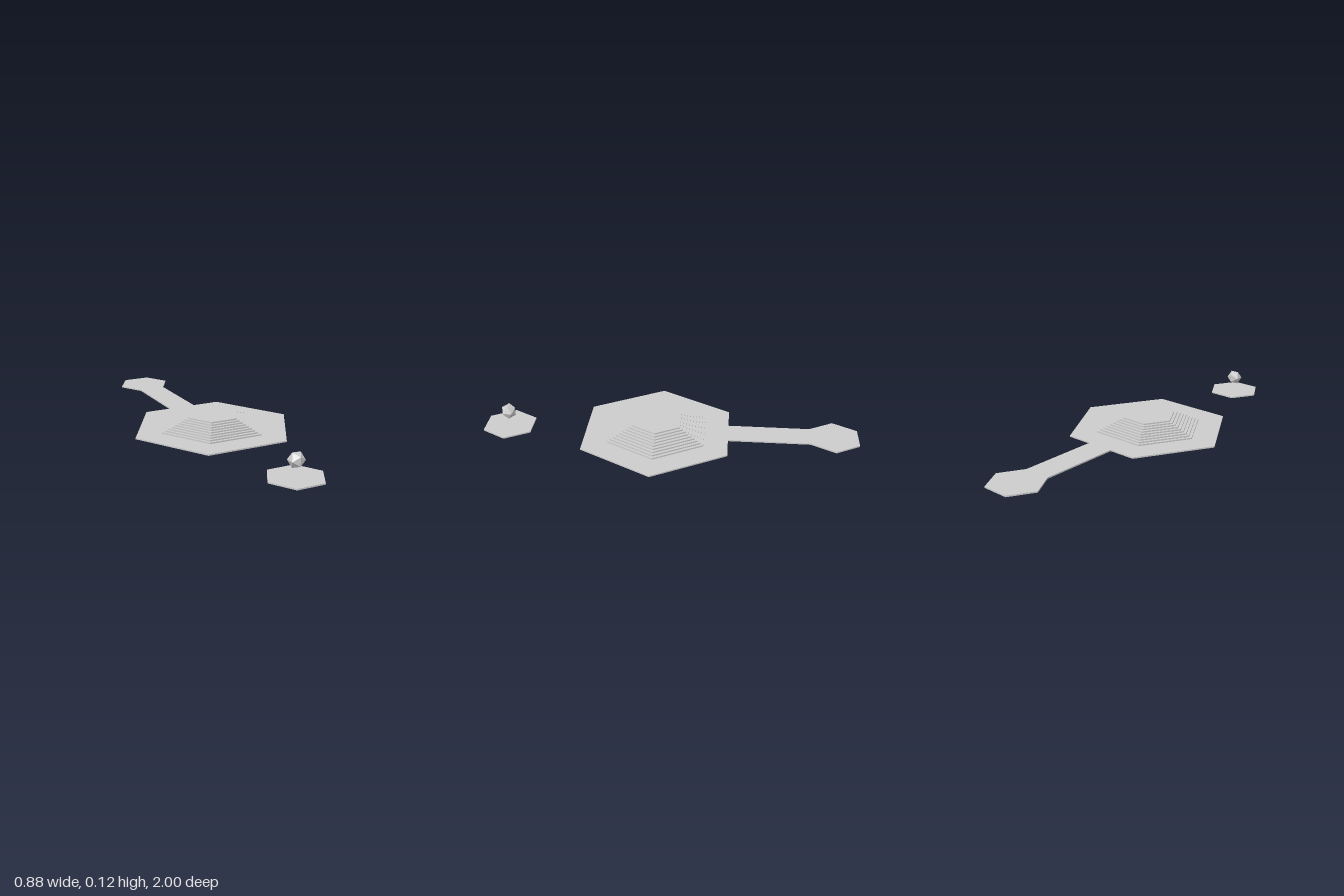
import * as THREE from 'three';

const UNIT = 0.0733;         // one design unit
const THICK = 0.1 * UNIT;    // slab and step height
const APOTHEM = Math.sqrt(3) / 2;
const END_Z = 1 - 2 * UNIT * APOTHEM; // centre of the small platforms
const MAIN_Z = 0.069;        // centre of the large platform

export function createModel() {
  const group = new THREE.Group();
  const material = new THREE.MeshStandardMaterial({ color: 0xcccccc, flatShading: true });

  const add = (name, geometry, x, y, z, parent = group) => {
    const mesh = new THREE.Mesh(geometry, material);
    mesh.name = name;
    mesh.position.set(x, y, z);
    parent.add(mesh);
    return mesh;
  };

  // Hexagonal slab with corners on the x axis
  const hexSlab = (radius) =>
    new THREE.CylinderGeometry(radius, radius, THICK, 6, 1, false, Math.PI / 2);

  // Large platform, walkway and rear platform as one continuous outline
  const big = 6 * UNIT, small = 2 * UNIT, half = UNIT;
  const bigBack = MAIN_Z - big * APOTHEM;
  const smallFront = -END_Z + small * APOTHEM;
  const side = [
    [big / 2, MAIN_Z + big * APOTHEM],
    [big, MAIN_Z],
    [big / 2, bigBack],
    [half, bigBack],
    [half, smallFront],
    [small, -END_Z],
    [small / 2, -1],
  ];
  const outline = [...side, ...side.map(([x, z]) => [-x, z]).reverse()];
  const shape = new THREE.Shape(outline.map(([x, z]) => new THREE.Vector2(x, -z)));
  const baseGeometry = new THREE.ExtrudeGeometry(shape, { depth: THICK, bevelEnabled: false });
  baseGeometry.rotateX(-Math.PI / 2);
  add('platformWithWalkway', baseGeometry, 0, 0, 0);

  // Stepped hexagonal dais
  const dais = new THREE.Group();
  dais.name = 'steppedDais';
  group.add(dais);
  for (let i = 0; i < 9; i++) {
    add('step' + (i + 1), hexSlab((4 - 0.25 * i) * UNIT), 0, THICK * (i + 1.5), MAIN_Z, dais);
  }

  // Detached front platform with a floating gem
  add('frontPlatform', hexSlab(small), 0, THICK / 2, END_Z);
  add('floatingGem', new THREE.IcosahedronGeometry(0.042, 0), 0, 0.086, END_Z);

  return group;
}
